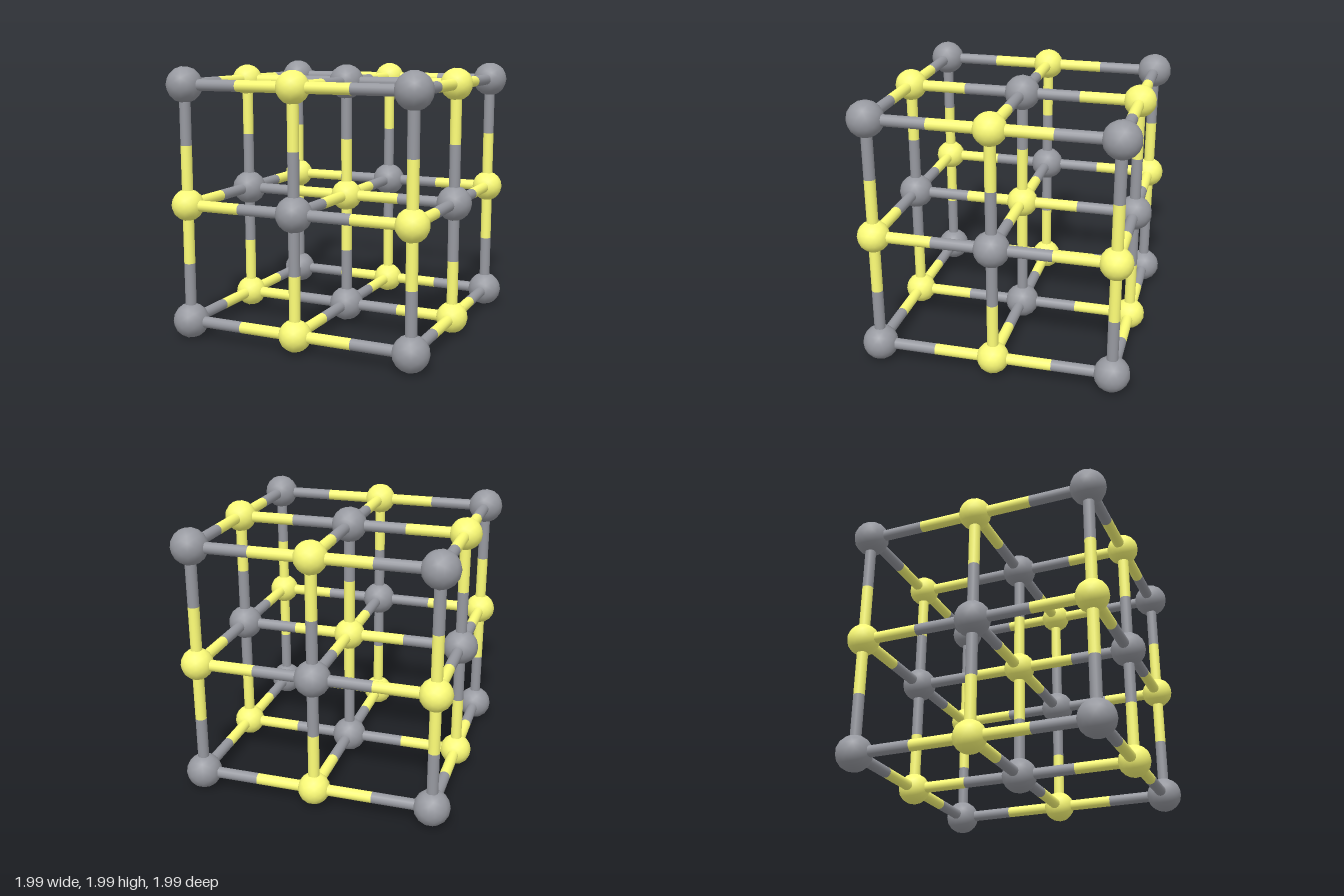
import * as THREE from 'three';

const SPACING = 0.867;
const ROD_RADIUS = 0.041;

export function createModel() {
  const model = new THREE.Group();
  model.name = 'cubicCrystalLattice';

  const kinds = {
    grey: {
      ball: new THREE.IcosahedronGeometry(0.131, 2),
      material: new THREE.MeshStandardMaterial({ color: 0x9799a0 }),
    },
    yellow: {
      ball: new THREE.IcosahedronGeometry(0.118, 2),
      material: new THREE.MeshStandardMaterial({ color: 0xffff78 }),
    },
  };

  // Half a bond: starts at an atom centre and ends midway to its neighbour
  const halfRod = new THREE.CylinderGeometry(ROD_RADIUS, ROD_RADIUS, SPACING / 2, 16);
  halfRod.translate(0, SPACING / 4, 0);

  const up = new THREE.Vector3(0, 1, 0);
  const directions = [];
  for (let axis = 0; axis < 3; axis++) {
    for (const sign of [-1, 1]) {
      directions.push(new THREE.Vector3().setComponent(axis, sign));
    }
  }

  // One atom with the halves of its bonds in its own colour
  function addSite(cell) {
    const odd = (Math.abs(cell.x) + Math.abs(cell.y) + Math.abs(cell.z)) % 2 === 1;
    const name = odd ? 'grey' : 'yellow';
    const { ball, material } = kinds[name];

    const site = new THREE.Group();
    site.name = name + 'Site';
    site.position.copy(cell).multiplyScalar(SPACING);
    site.position.y += 1;

    const atom = new THREE.Mesh(ball, material);
    atom.name = name + 'Atom';
    site.add(atom);

    for (const dir of directions) {
      const next = cell.clone().add(dir);
      if (Math.max(Math.abs(next.x), Math.abs(next.y), Math.abs(next.z)) > 1) continue;
      const rod = new THREE.Mesh(halfRod, material);
      rod.name = name + 'HalfBond';
      rod.quaternion.setFromUnitVectors(up, dir);
      site.add(rod);
    }
    model.add(site);
  }

  // Three by three by three grid of alternating atoms
  for (let x = -1; x <= 1; x++) {
    for (let y = -1; y <= 1; y++) {
      for (let z = -1; z <= 1; z++) addSite(new THREE.Vector3(x, y, z));
    }
  }

  return model;
}
